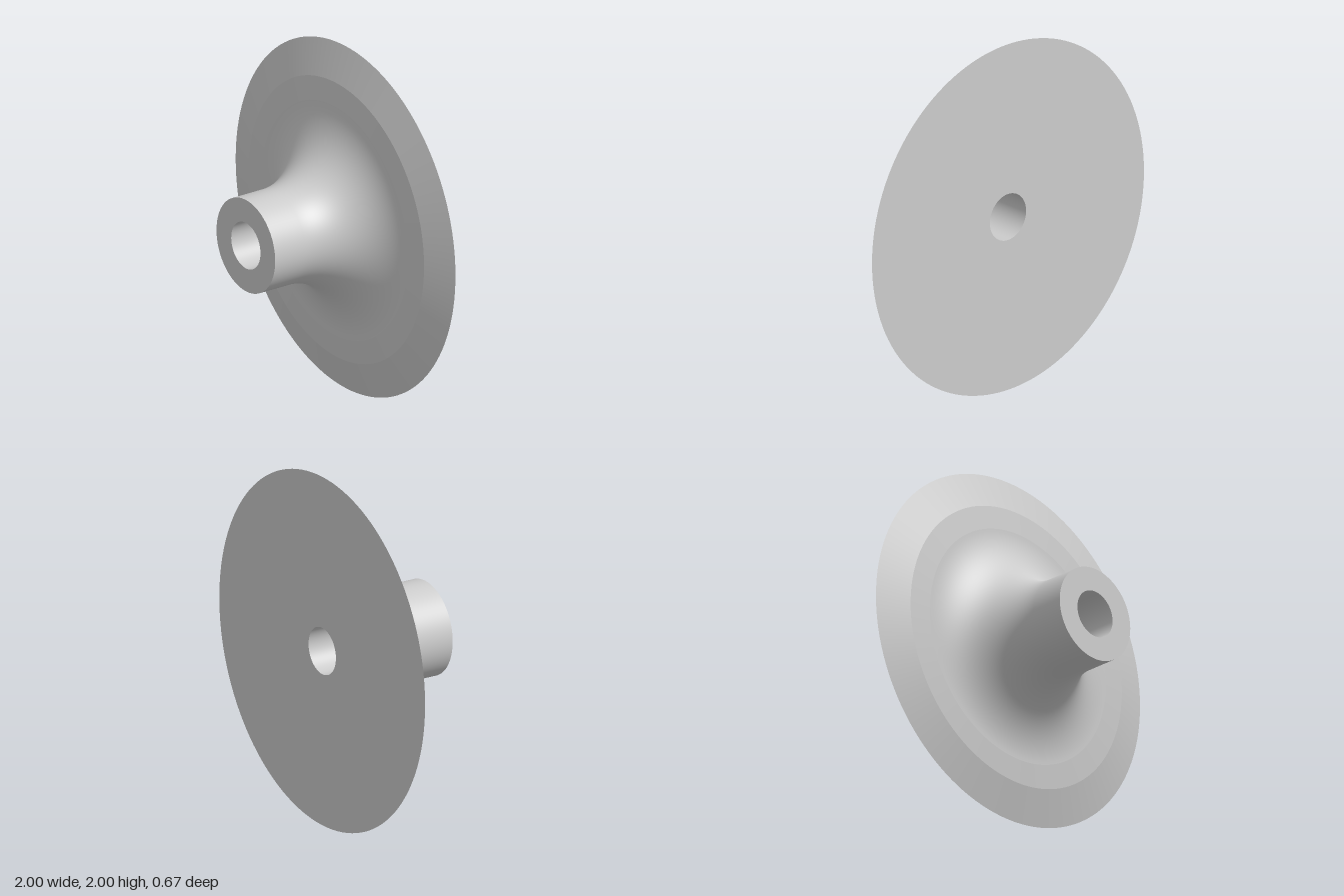
import * as THREE from 'three';

const BORE = 0.133, HUB = 0.267, FRONT = 0.333, BACK = -0.333;
const FILLET_R = 0.667, FILLET_Z = 0.133, FILLET_END = -0.257;

// Elliptical fillet from the disc face up to the hub wall
function filletProfile(steps) {
  const points = [];
  for (let i = 0; i <= steps; i++) {
    const a = (i / steps) * Math.PI / 2;
    points.push([
      FILLET_R - (FILLET_R - HUB) * Math.sin(a),
      FILLET_Z - (FILLET_Z - FILLET_END) * Math.cos(a),
    ]);
  }
  return points;
}

export function createModel() {
  const group = new THREE.Group();
  group.name = 'flaredFlange';
  const material = new THREE.MeshStandardMaterial({ color: 0xcccccc });

  // Each section is turned separately so the edges between them stay sharp
  const sections = {
    backFace: [[BORE, BACK], [1, BACK]],
    rimBevel: [[1, BACK], [0.8, -0.27]],
    discFace: [[0.8, -0.27], [FILLET_R, FILLET_END]],
    hubFlare: [...filletProfile(32), [HUB, FRONT]],
    hubEnd: [[HUB, FRONT], [BORE, FRONT]],
    bore: [[BORE, FRONT], [BORE, BACK]],
  };

  for (const [name, profile] of Object.entries(sections)) {
    const points = profile.map(([r, z]) => new THREE.Vector2(r, z));
    const geometry = new THREE.LatheGeometry(points, 128);
    geometry.rotateX(Math.PI / 2); // lathe axis now points to the front
    geometry.translate(0, 1, 0);
    const mesh = new THREE.Mesh(geometry, material);
    mesh.name = name;
    group.add(mesh);
  }
  return group;
}
